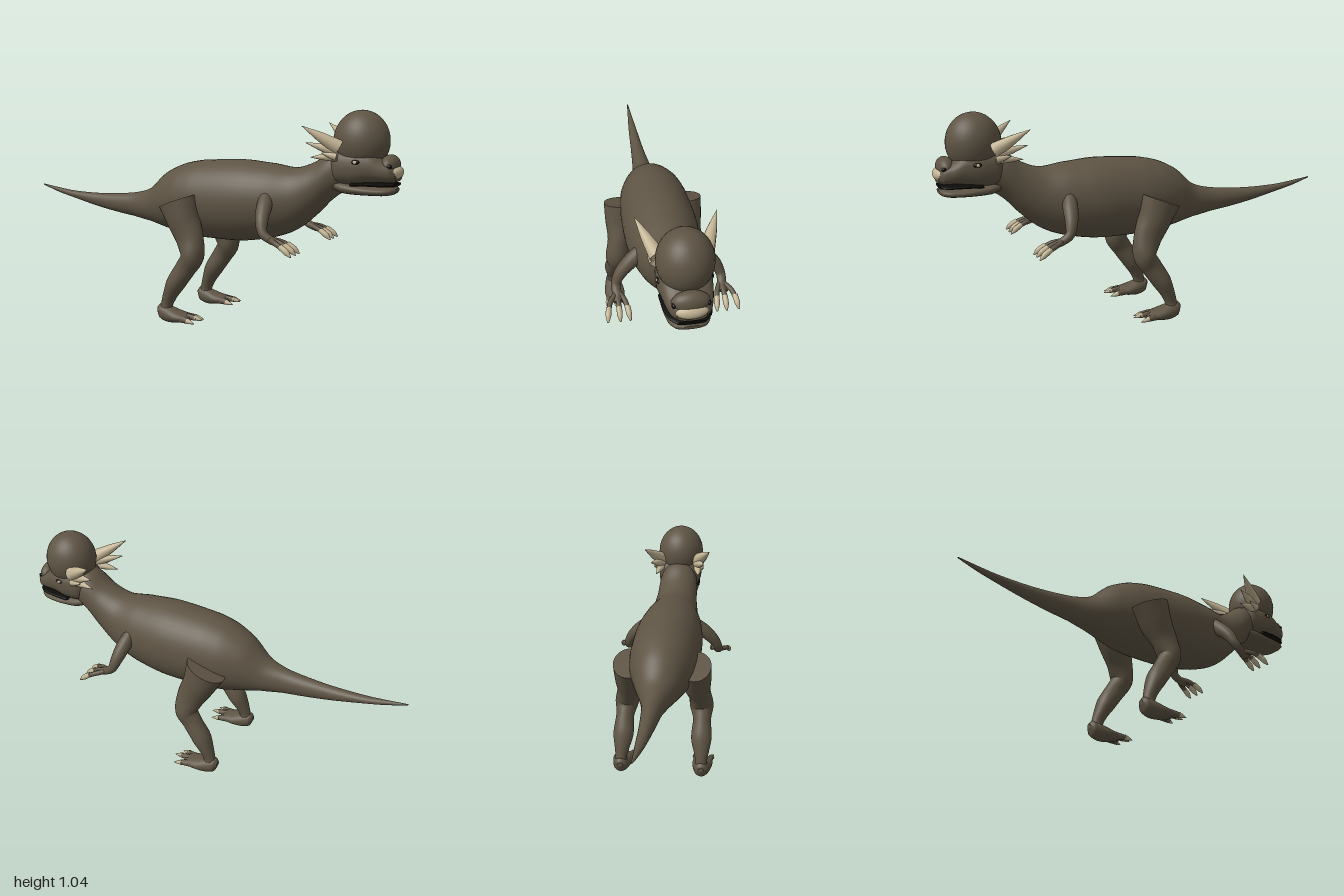
import * as THREE from 'three';

const mat = (name, color) => Object.assign(new THREE.MeshStandardMaterial({ color }), { name });

// Smooth tube through rows of [x, y, z, radiusUp, radiusSide].
// upright keeps every ring in a vertical plane; pow < 1 makes the rings boxier.
function loft(rows, { steps = 5, sides = 28, upright = false, pow = 1 } = {}) {
  const path = new THREE.CatmullRomCurve3(rows.map(r => new THREE.Vector3(r[0], r[1], r[2])));
  const size = new THREE.CatmullRomCurve3(rows.map(r => new THREE.Vector3(r[3], r[4], 0)));
  const n = (rows.length - 1) * steps;
  const pos = [], idx = [];
  const soft = v => Math.sign(v) * Math.pow(Math.abs(v), pow);
  for (let i = 0; i <= n; i++) {
    const c = path.getPoint(i / n), r = size.getPoint(i / n);
    const t = upright ? new THREE.Vector3(1, 0, 0) : path.getTangent(i / n);
    const up = new THREE.Vector3(0, 0, 1).cross(t).normalize();
    const side = t.clone().cross(up);
    for (let j = 0; j < sides; j++) {
      const a = (j / sides) * Math.PI * 2;
      const p = c.clone()
        .addScaledVector(up, Math.max(r.x, 0.0005) * soft(Math.cos(a)))
        .addScaledVector(side, Math.max(r.y, 0.0005) * soft(Math.sin(a)));
      pos.push(p.x, p.y, p.z);
    }
  }
  for (let i = 0; i < n; i++) for (let j = 0; j < sides; j++) {
    const k = (j + 1) % sides, a = i * sides + j, b = i * sides + k;
    idx.push(a, b, a + sides, b, b + sides, a + sides);
  }
  // Flat end caps with their own vertices
  for (const end of [0, n]) {
    const c = path.getPoint(end / n), base = pos.length / 3;
    for (let j = 0; j < sides * 3; j++) pos.push(pos[end * sides * 3 + j]);
    pos.push(c.x, c.y, c.z);
    for (let j = 0; j < sides; j++) {
      const k = (j + 1) % sides;
      idx.push(base + sides, base + (end ? j : k), base + (end ? k : j));
    }
  }
  const g = new THREE.BufferGeometry();
  g.setAttribute('position', new THREE.Float32BufferAttribute(pos, 3));
  g.setIndex(idx);
  g.computeVertexNormals();
  return g;
}

export function createModel() {
  const model = new THREE.Group();
  model.name = 'dinosaur';
  const hide = mat('hide', 0x5e5444), horn = mat('horn', 0xc2b393), black = mat('black', 0x0e0c0a);

  const add = (parent, name, geo, material) => {
    const m = new THREE.Mesh(geo, material);
    m.name = name;
    parent.add(m);
    return m;
  };
  const blob = (parent, name, material, [x, y, z], [rx, ry, rz]) => {
    const m = add(parent, name, new THREE.SphereGeometry(1, 32, 20), material);
    m.position.set(x, y, z);
    m.scale.set(rx, ry, rz);
    return m;
  };
  const spike = (parent, name, a, b, r) => {
    const mid = a.map((v, i) => (v + b[i]) / 2);
    add(parent, name, loft([[...a, r, r], [...mid, r * 0.62, r * 0.62], [...b, 0.001, 0.001]],
      { steps: 3, sides: 12 }), horn);
  };

  // Tail, trunk and neck: [x, top, bottom, half width]
  const trunk = [
    [-1, 0.612, 0.606, 0.003], [-0.9, 0.598, 0.574, 0.012], [-0.8, 0.586, 0.55, 0.021],
    [-0.6, 0.583, 0.505, 0.034], [-0.4, 0.6, 0.475, 0.052], [-0.3, 0.63, 0.458, 0.08],
    [-0.2, 0.717, 0.433, 0.122], [-0.1, 0.765, 0.41, 0.155], [0, 0.786, 0.401, 0.17],
    [0.2, 0.798, 0.4, 0.176], [0.38, 0.786, 0.428, 0.158], [0.5, 0.772, 0.475, 0.128],
    [0.6, 0.808, 0.555, 0.11], [0.68, 0.865, 0.636, 0.102], [0.76, 0.88, 0.69, 0.09]];
  add(model, 'body', loft(trunk.map(([x, t, b, w]) => [x, (t + b) / 2, 0, (t - b) / 2, w]),
    { upright: true, sides: 40 }), hide);

  // Head
  const head = new THREE.Group();
  head.name = 'head';
  model.add(head);
  blob(head, 'dome', hide, [0.808, 0.905, 0], [0.128, 0.14, 0.122]);
  const skull = [
    [0.685, 0.84, 0.74, 0.08], [0.72, 0.875, 0.705, 0.11], [0.79, 0.88, 0.703, 0.117],
    [0.87, 0.865, 0.72, 0.108], [0.92, 0.83, 0.724, 0.098], [0.96, 0.815, 0.724, 0.085],
    [0.982, 0.79, 0.732, 0.062]];
  add(head, 'skull', loft(skull.map(([x, t, b, w]) => [x, (t + b) / 2, 0, (t - b) / 2, w]),
    { upright: true, pow: 0.8 }), hide);
  blob(head, 'noseBump', hide, [0.943, 0.8, 0], [0.042, 0.05, 0.08]);
  blob(head, 'beak', horn, [0.962, 0.771, 0], [0.038, 0.034, 0.072]);
  add(head, 'mouth', loft([[0.79, 0.715, 0, 0.01, 0.108], [0.87, 0.717, 0, 0.01, 0.105],
    [0.94, 0.716, 0, 0.01, 0.09], [0.976, 0.716, 0, 0.008, 0.06]], { upright: true, pow: 0.8 }), black);
  add(head, 'lowerJaw', loft([[0.69, 0.71, 0, 0.025, 0.075], [0.75, 0.696, 0, 0.03, 0.098],
    [0.85, 0.687, 0, 0.024, 0.099], [0.93, 0.686, 0, 0.021, 0.087], [0.965, 0.689, 0, 0.017, 0.065],
    [0.978, 0.692, 0, 0.008, 0.035]], { upright: true, pow: 0.85 }), hide);

  for (const s of [1, -1]) {
    const label = s > 0 ? 'near' : 'far';

    // Eyes, nostrils and swept-back horns
    blob(head, 'eyeSocket', black, [0.815, 0.817, s * 0.107], [0.022, 0.011, 0.012]);
    blob(head, 'eye', horn, [0.815, 0.817, s * 0.113], [0.01, 0.008, 0.008]);
    blob(head, 'nostril', black, [0.957, 0.8, s * 0.071], [0.013, 0.011, 0.009]);
    spike(head, 'upperHorn', [0.735, 0.88, s * 0.102], [0.587, 0.975, s * 0.175], 0.036);
    spike(head, 'middleHorn', [0.73, 0.86, s * 0.1], [0.592, 0.9, s * 0.142], 0.028);
    spike(head, 'lowerHorn', [0.73, 0.84, s * 0.1], [0.607, 0.832, s * 0.115], 0.025);
    spike(head, 'cheekHorn', [0.73, 0.84, s * 0.115], [0.665, 0.855, s * 0.135], 0.02);

    // Arm with three clawed fingers
    const arm = new THREE.Group();
    arm.name = label + 'Arm';
    model.add(arm);
    add(arm, 'armLimb', loft([
      [0.395, 0.635, s * 0.115, 0.032, 0.04], [0.405, 0.595, s * 0.17, 0.036, 0.036],
      [0.418, 0.54, s * 0.222, 0.03, 0.029], [0.435, 0.49, s * 0.246, 0.022, 0.022],
      [0.475, 0.461, s * 0.244, 0.018, 0.022], [0.51, 0.448, s * 0.24, 0.015, 0.026]],
      { sides: 20 }), hide);
    for (const [z, tip] of [[0.292, 0.302], [0.245, 0.245], [0.207, 0.199]]) {
      add(arm, 'finger', loft([[0.475, 0.463, s * (0.24 + (z - 0.24) * 0.25), 0.013, 0.013],
        [0.515, 0.453, s * (0.24 + (z - 0.24) * 0.8), 0.012, 0.012],
        [0.55, 0.438, s * z, 0.011, 0.011]], { steps: 4, sides: 14 }), hide);
      add(arm, 'fingerClaw', loft([[0.54, 0.445, s * z, 0.013, 0.013],
        [0.57, 0.425, s * (z + tip) / 2, 0.014, 0.013], [0.596, 0.403, s * tip, 0.003, 0.004]],
        { steps: 4, sides: 14 }), horn);
    }

    // Leg, with a flat-topped thigh
    const leg = new THREE.Group();
    leg.name = label + 'Leg';
    model.add(leg);
    add(leg, 'legLimb', loft([
      [-0.055, 0.597, s * 0.165, 0.102, 0.078], [-0.02, 0.505, s * 0.168, 0.084, 0.074],
      [0.022, 0.415, s * 0.182, 0.07, 0.056], [0.04, 0.335, s * 0.193, 0.056, 0.06],
      [0.005, 0.275, s * 0.198, 0.051, 0.046], [-0.045, 0.2, s * 0.2, 0.047, 0.052],
      [-0.08, 0.13, s * 0.204, 0.034, 0.038], [-0.095, 0.085, s * 0.206, 0.03, 0.029],
      [-0.1, 0.045, s * 0.207, 0.036, 0.035]]), hide);
    add(leg, 'foot', loft([
      [-0.142, 0.062, s * 0.207, 0.012, 0.014], [-0.125, 0.052, s * 0.207, 0.038, 0.034],
      [-0.085, 0.042, s * 0.207, 0.041, 0.044], [-0.03, 0.035, s * 0.207, 0.03, 0.052],
      [0.015, 0.034, s * 0.207, 0.02, 0.046], [0.04, 0.033, s * 0.207, 0.009, 0.025]],
      { upright: true }), hide);
    for (const [z, y, x] of [[0.25, 0.028, 0.085], [0.207, 0.036, 0.104], [0.164, 0.028, 0.085]]) {
      const root = 0.207 + (z - 0.207) * 0.7;
      add(leg, 'toe', loft([[-0.02, 0.034, s * root, 0.019, 0.016],
        [0.025, y + 0.003, s * (root + z) / 2, 0.016, 0.015], [x - 0.03, y, s * z, 0.011, 0.012]],
        { steps: 4, sides: 14 }), hide);
      spike(leg, 'toeClaw', [x - 0.042, y + 0.002, s * z], [x, y - 0.006, s * (z + (z - 0.207) * 0.15)], 0.014);
    }
  }
  return model;
}
